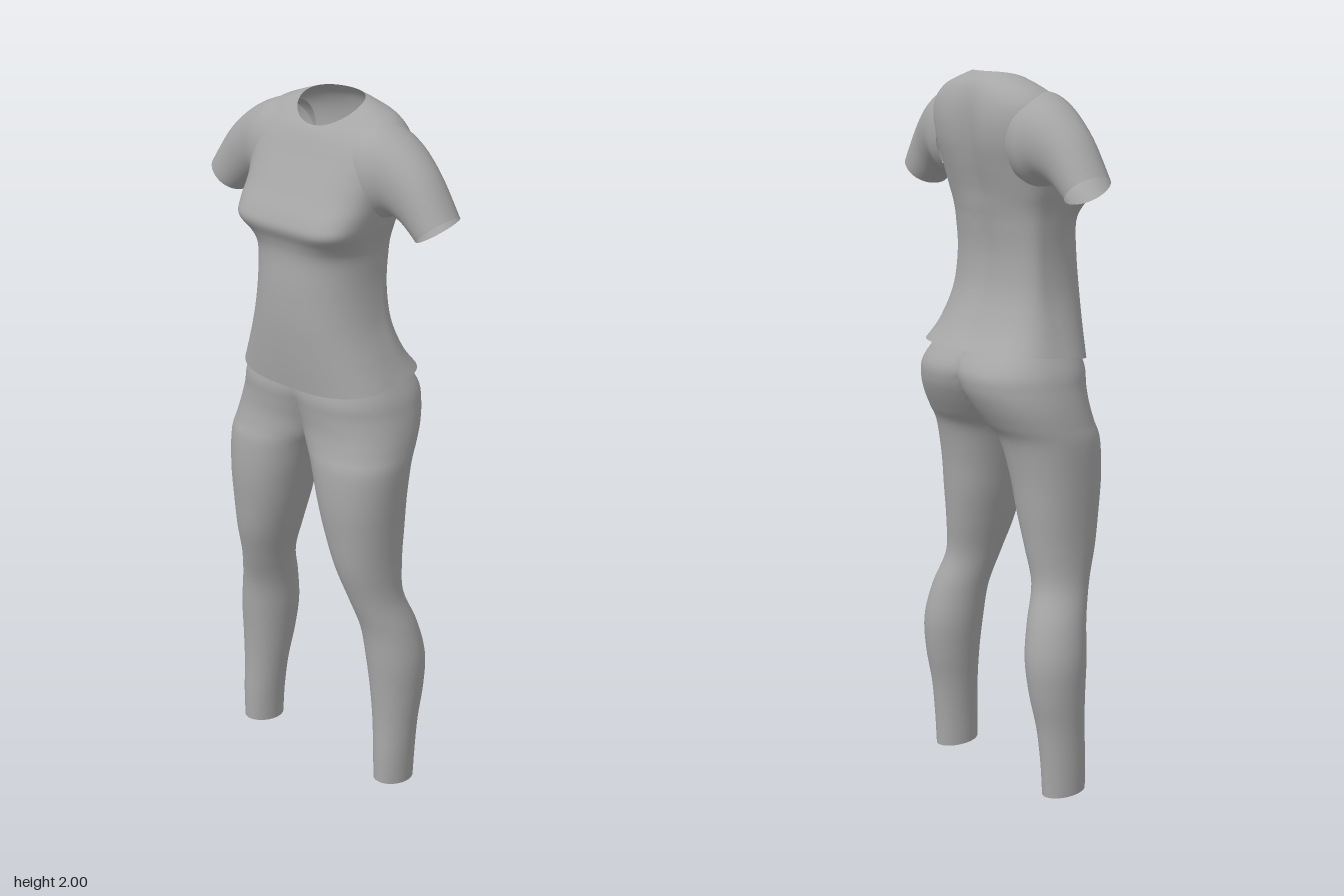
import * as THREE from 'three';
import { mergeVertices, mergeGeometries } from 'three/addons/utils/BufferGeometryUtils.js';

const SIDES = 72;

// Catmull-Rom interpolation of a list of section rows
function refine(rows, steps = 5) {
  const out = [];
  const at = i => rows[Math.min(rows.length - 1, Math.max(0, i))];
  for (let i = 0; i < rows.length - 1; i++) {
    for (let s = 0; s < steps; s++) {
      const t = s / steps;
      out.push(rows[i].map((b, k) => {
        const a = at(i - 1)[k], c = at(i + 1)[k], d = at(i + 2)[k];
        return b + 0.5 * t * (c - a + t * (2 * a - 5 * b + 4 * c - d + t * (3 * (b - c) + d - a)));
      }));
    }
  }
  out.push(rows[rows.length - 1]);
  return out;
}

// Unit superellipse: [across, depth]; exponent n sets the squareness
function oval(angle, n) {
  const c = Math.cos(angle), s = Math.sin(angle);
  return [Math.sign(c) * Math.abs(c) ** (2 / n), Math.sign(s) * Math.abs(s) ** (2 / n)];
}

// Open tube through closed rings; faces lying wholly in the plane x = 0 are left out
function loft(rows, point) {
  const pos = [], idx = [];
  rows.forEach(row => {
    for (let j = 0; j < SIDES; j++) pos.push(...point(row, (j / SIDES) * Math.PI * 2));
  });
  const tri = (...f) => { if (f.some(i => Math.abs(pos[i * 3]) > 1e-6)) idx.push(...f); };
  for (let i = 0; i < rows.length - 1; i++) {
    for (let j = 0; j < SIDES; j++) {
      const k = (j + 1) % SIDES;
      const a = i * SIDES + j, b = i * SIDES + k, c = a + SIDES, d = b + SIDES;
      tri(a, c, b);
      tri(b, c, d);
    }
  }
  const g = new THREE.BufferGeometry();
  g.setAttribute('position', new THREE.Float32BufferAttribute(pos, 3));
  g.setIndex(idx);
  return g;
}

// Mirror image across x = 0 with the winding turned round
function mirrored(g) {
  const m = g.clone().scale(-1, 1, 1);
  m.setIndex(Array.from(g.index.array).reverse());
  return m;
}

function smooth(g) {
  const m = mergeVertices(g, 1e-5);
  m.computeVertexNormals();
  return m;
}

export function createModel() {
  const group = new THREE.Group();
  const cloth = new THREE.MeshStandardMaterial({ color: 0xa6a6a6, side: THREE.DoubleSide });
  cloth.name = 'grey cloth';
  const add = (name, geometry) => {
    const mesh = new THREE.Mesh(geometry, cloth);
    mesh.name = name;
    group.add(mesh);
  };

  // Shirt body, hem to neckline: [yFront, yBack, halfWidth, zFront, zBack, nFront, nBack, spineGroove]
  const body = refine([
    [1.215, 1.25, 0.25, 0.16, -0.182, 2.8, 2.8, 0],
    [1.30, 1.31, 0.224, 0.17, -0.14, 2.6, 2.5, 0.004],
    [1.40, 1.40, 0.195, 0.177, -0.102, 2.5, 2.4, 0.008],
    [1.50, 1.50, 0.183, 0.176, -0.09, 2.4, 2.4, 0.01],
    [1.59, 1.59, 0.185, 0.17, -0.098, 2.5, 2.4, 0.01],
    [1.635, 1.635, 0.19, 0.178, -0.106, 3.2, 2.4, 0.01],
    [1.675, 1.675, 0.2, 0.196, -0.114, 4.4, 2.5, 0.012],
    [1.71, 1.71, 0.208, 0.186, -0.124, 4, 2.5, 0.014],
    [1.76, 1.76, 0.218, 0.157, -0.139, 3.2, 2.5, 0.016],
    [1.81, 1.815, 0.23, 0.13, -0.152, 2.8, 2.6, 0.018],
    [1.85, 1.87, 0.24, 0.108, -0.156, 2.6, 2.6, 0.016],
    [1.88, 1.92, 0.235, 0.093, -0.15, 2.4, 2.5, 0.01],
    [1.905, 1.96, 0.2, 0.08, -0.135, 2.2, 2.3, 0.004],
    [1.922, 1.985, 0.147, 0.069, -0.113, 2, 2, 0],
    [1.93, 2.0, 0.1, 0.06, -0.092, 2, 2, 0],
  ]);
  add('shirtBody', smooth(loft(body, ([yf, yb, w, zf, zb, nf, nb, groove], a) => {
    const front = Math.sin(a) >= 0;
    const [u, v] = oval(a, front ? nf : nb);
    const mid = -0.015, x = w * u;
    let z = mid + v * (front ? zf - mid : mid - zb);
    if (!front) z += groove * Math.exp(-((x / 0.045) ** 2));
    return [x, yb + (yf - yb) * ((v + 1) / 2) ** 2, z];
  })));

  // Sleeves, inside the shoulder to the cuff: [xTop, yTop, xBottom, yBottom, zFront, zBack]
  const sleeve = loft(refine([
    [0.15, 1.953, 0.17, 1.70, 0.085, -0.13],
    [0.2, 1.95, 0.2, 1.70, 0.085, -0.132],
    [0.275, 1.912, 0.232, 1.717, 0.066, -0.115],
    [0.35, 1.845, 0.275, 1.702, 0.054, -0.095],
    [0.418, 1.745, 0.325, 1.665, 0.05, -0.085],
  ], 7), ([xt, yt, xb, yb, zf, zb], a) => {
    const [u, v] = oval(a, 2.1), t = (u + 1) / 2;
    return [xb + (xt - xb) * t, yb + (yt - yb) * t, (zf + zb) / 2 + (v * (zf - zb)) / 2];
  });
  add('leftSleeve', smooth(sleeve));
  add('rightSleeve', smooth(mirrored(sleeve)));

  // Leggings, ankle to waist; above the crotch the two halves meet at x = 0
  // [y, xInner, xOuter, zFront, zBack, n]
  const leg = loft(refine([
    [0.01, 0.21, 0.31, 0.065, -0.065, 2],
    [0.1, 0.205, 0.314, 0.065, -0.07, 2],
    [0.2, 0.195, 0.318, 0.061, -0.08, 2],
    [0.3, 0.18, 0.325, 0.063, -0.1, 2],
    [0.4, 0.165, 0.327, 0.07, -0.108, 2],
    [0.5, 0.154, 0.309, 0.08, -0.09, 2],
    [0.6, 0.135, 0.28, 0.11, -0.059, 2],
    [0.7, 0.105, 0.274, 0.14, -0.066, 2.1],
    [0.8, 0.075, 0.277, 0.155, -0.077, 2.2],
    [0.9, 0.048, 0.283, 0.165, -0.087, 2.2],
    [1.0, 0.015, 0.288, 0.163, -0.107, 2.2],
    [1.05, -0.02, 0.284, 0.152, -0.138, 2.2],
    [1.1, -0.05, 0.277, 0.145, -0.168, 2.2],
    [1.15, -0.08, 0.266, 0.147, -0.189, 2.2],
    [1.2, -0.1, 0.252, 0.15, -0.188, 2.3],
    [1.27, -0.12, 0.218, 0.135, -0.142, 2.3],
  ]), ([y, xi, xo, zf, zb, n], a) => {
    const [u, v] = oval(a, n);
    const x = (xi + xo) / 2 + (u * (xo - xi)) / 2;
    const z = (zf + zb) / 2 + (v * (zf - zb)) / 2;
    const tilt = 0.1 * z * Math.max(0, 1 - y / 0.1);
    return [Math.max(0, x), y + tilt, z];
  });
  add('leggings', smooth(mergeGeometries([leg, mirrored(leg)])));

  return group;
}
